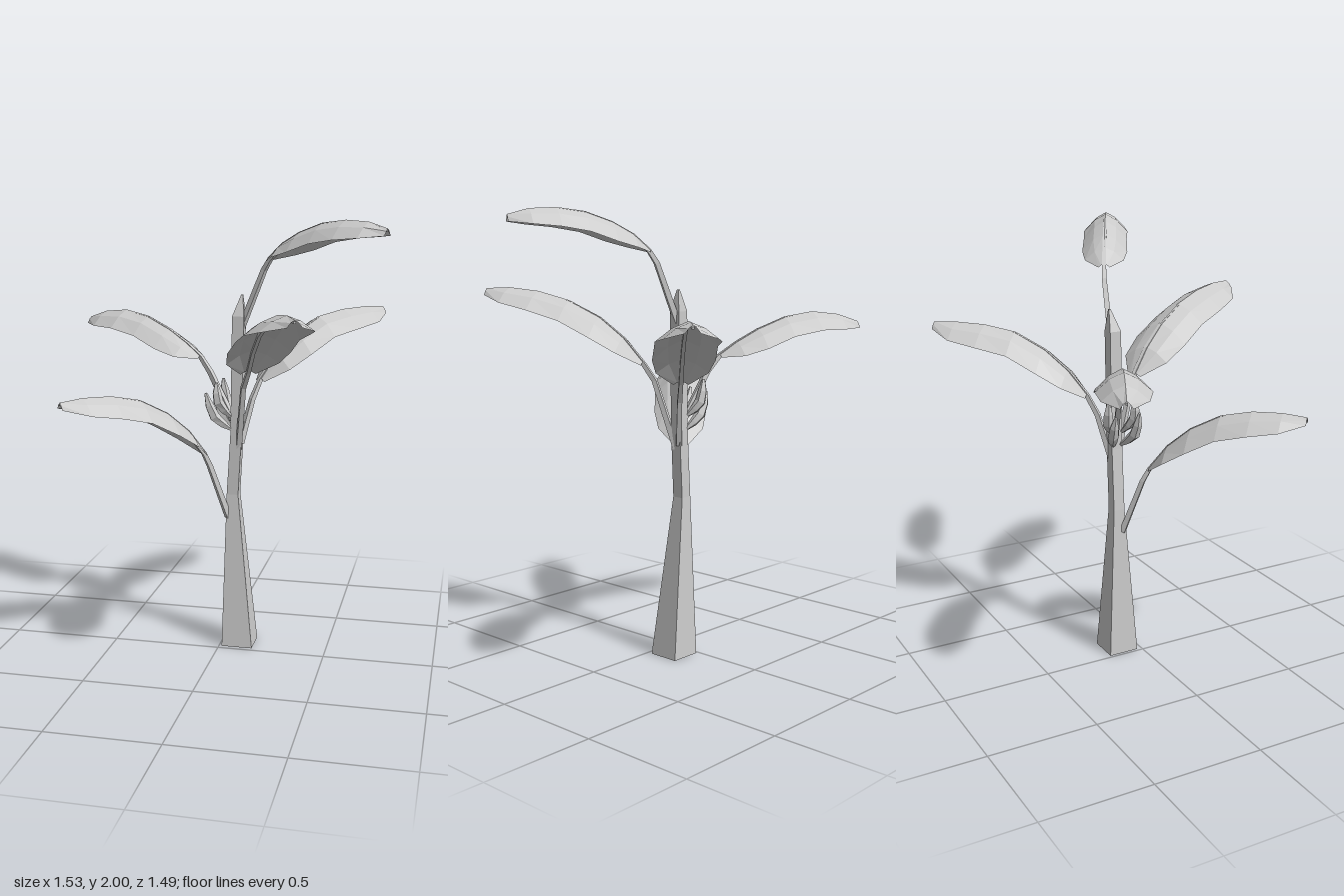
import * as THREE from 'three';

const material = new THREE.MeshStandardMaterial({
  color: 0xcccccc, flatShading: true, side: THREE.DoubleSide,
});
const vec = (p) => new THREE.Vector3(...p);

function makeMesh(name, positions, index) {
  const geometry = new THREE.BufferGeometry();
  geometry.setAttribute('position', new THREE.Float32BufferAttribute(positions, 3));
  geometry.setIndex(index);
  geometry.computeVertexNormals();
  const mesh = new THREE.Mesh(geometry, material);
  mesh.name = name;
  return mesh;
}

// Closed tube with a radius per path point; `side` fixes the roll, `axis` an optional fixed ring normal
function loft(name, path, radii, sides, side, axis) {
  const positions = [], index = [], n = path.length;
  path.forEach((p, i) => {
    const t = axis ? axis.clone()
      : path[Math.min(i + 1, n - 1)].clone().sub(path[Math.max(i - 1, 0)]).normalize();
    const v = t.clone().cross(side).normalize();
    const u = v.clone().cross(t);
    for (let j = 0; j < sides; j++) {
      const a = ((j + 0.5) / sides) * Math.PI * 2;
      const q = p.clone().addScaledVector(u, Math.cos(a) * radii[i])
        .addScaledVector(v, Math.sin(a) * radii[i]);
      positions.push(q.x, q.y, q.z);
    }
  });
  for (let i = 0; i < n - 1; i++) {
    for (let j = 0; j < sides; j++) {
      const k = (j + 1) % sides, a = i * sides, b = a + sides;
      index.push(a + j, a + k, b + j, a + k, b + k, b + j);
    }
  }
  const last = (n - 1) * sides;
  for (let j = 1; j < sides - 1; j++) {
    index.push(0, j + 1, j, last, last + j, last + j + 1);
  }
  return makeMesh(name, positions, index);
}

// Stations along a leaf: fraction of length, relative half width, drop of the edge
const STATIONS = [0, 0.12, 0.27, 0.46, 0.66, 0.85, 1];
const WIDTHS = [0.25, 0.85, 1, 0.97, 1, 0.82, 0.22];
const DROPS = [0.015, 0.06, 0.085, 0.085, 0.08, 0.065, 0.03];
// Across the blade: relative offset and share of the drop
const ACROSS = [[-1, 1], [-0.5, 0.35], [0, 0], [0.5, 0.35], [1, 1]];

function makeLeaf({ start, elbow, base, tip, heights, width }) {
  const leaf = new THREE.Group();
  leaf.name = 'leaf';
  const [dx, dz] = [tip[0] - base[0], tip[1] - base[1]];
  const side = new THREE.Vector3(dz, 0, -dx).normalize();
  const rib = STATIONS.map((t, i) => vec([base[0] + dx * t, heights[i], base[1] + dz * t]));

  // Arched blade, folded down along the midrib
  const positions = [], index = [], m = ACROSS.length;
  rib.forEach((p, i) => {
    for (const [s, d] of ACROSS) {
      const q = p.clone().addScaledVector(side, s * WIDTHS[i] * width);
      positions.push(q.x, q.y - d * DROPS[i], q.z);
    }
  });
  for (let i = 0; i < rib.length - 1; i++) {
    for (let j = 0; j < m - 1; j++) {
      const a = i * m + j, b = a + m;
      index.push(a, a + 1, b, a + 1, b + 1, b);
    }
  }
  leaf.add(makeMesh('blade', positions, index));

  // Stalk running on beneath the blade as its midrib
  const under = rib.map((p) => p.clone().setY(p.y - 0.01));
  const radii = [0.018, 0.015, 0.013, 0.012, 0.011, 0.01, 0.009, 0.008, 0.007];
  leaf.add(loft('stalk', [vec(start), vec(elbow), ...under], radii, 4, side));
  return leaf;
}

const LEAVES = [
  { start: [0.03, 0.62, -0.09], elbow: [-0.045, 0.88, -0.025], base: [-0.065, 0], tip: [-0.575, 0.485],
    heights: [0.95, 1.06, 1.15, 1.22, 1.25, 1.255, 1.245], width: 0.122 },
  { start: [0.045, 1.08, -0.115], elbow: [-0.07, 1.29, -0.155], base: [-0.12, -0.18], tip: [-0.755, -0.485],
    heights: [1.365, 1.42, 1.475, 1.525, 1.545, 1.53, 1.495], width: 0.115 },
  { start: [0.08, 0.97, -0.12], elbow: [0.125, 1.17, -0.165], base: [0.155, -0.2], tip: [0.665, -0.725],
    heights: [1.265, 1.37, 1.46, 1.53, 1.555, 1.56, 1.555], width: 0.132 },
  { start: [0.075, 0.95, -0.1], elbow: [0.115, 1.25, -0.005], base: [0.145, 0.035], tip: [0.46, 0.73],
    heights: [1.335, 1.44, 1.53, 1.6, 1.64, 1.655, 1.65], width: 0.14 },
  { start: [0.08, 1.5, -0.115], elbow: [0.19, 1.77, -0.09], base: [0.22, -0.075], tip: [0.755, 0.215],
    heights: [1.83, 1.895, 1.945, 1.985, 2, 1.995, 1.97], width: 0.103 },
];

// Curved fruits on both sides of the trunk
const FRUITS = [
  [[0.04, 1.04, -0.09], [-0.03, 1.1, -0.06], [-0.07, 1.21, -0.055]],
  [[0.04, 1.1, -0.085], [-0.01, 1.17, -0.05], [-0.02, 1.26, -0.055]],
  [[0.04, 1.04, -0.13], [-0.015, 1.1, -0.16], [-0.055, 1.2, -0.165]],
  [[0.04, 1.1, -0.135], [0, 1.16, -0.175], [-0.015, 1.26, -0.18]],
];

export function createModel() {
  const model = new THREE.Group();
  model.name = 'bananaPlant';
  const xAxis = new THREE.Vector3(1, 0, 0);

  // Square trunk, flared at the foot and pointed on top
  const trunkPath = [[0.085, 0, -0.095], [0.05, 0.73, -0.11], [0.066, 1.02, -0.11],
    [0.073, 1.56, -0.11], [0.085, 1.655, -0.12]].map(vec);
  model.add(loft('trunk', trunkPath, [0.102, 0.038, 0.037, 0.038, 0.006], 4, xAxis,
    new THREE.Vector3(0, 1, 0)));

  for (const leaf of LEAVES) model.add(makeLeaf(leaf));

  const bunch = new THREE.Group();
  bunch.name = 'fruitBunch';
  for (const points of FRUITS) {
    const path = new THREE.CatmullRomCurve3(points.map(vec)).getPoints(4);
    bunch.add(loft('fruit', path, [0.009, 0.02, 0.025, 0.021, 0.007], 5, new THREE.Vector3(0, 0, 1)));
  }
  model.add(bunch);
  return model;
}
